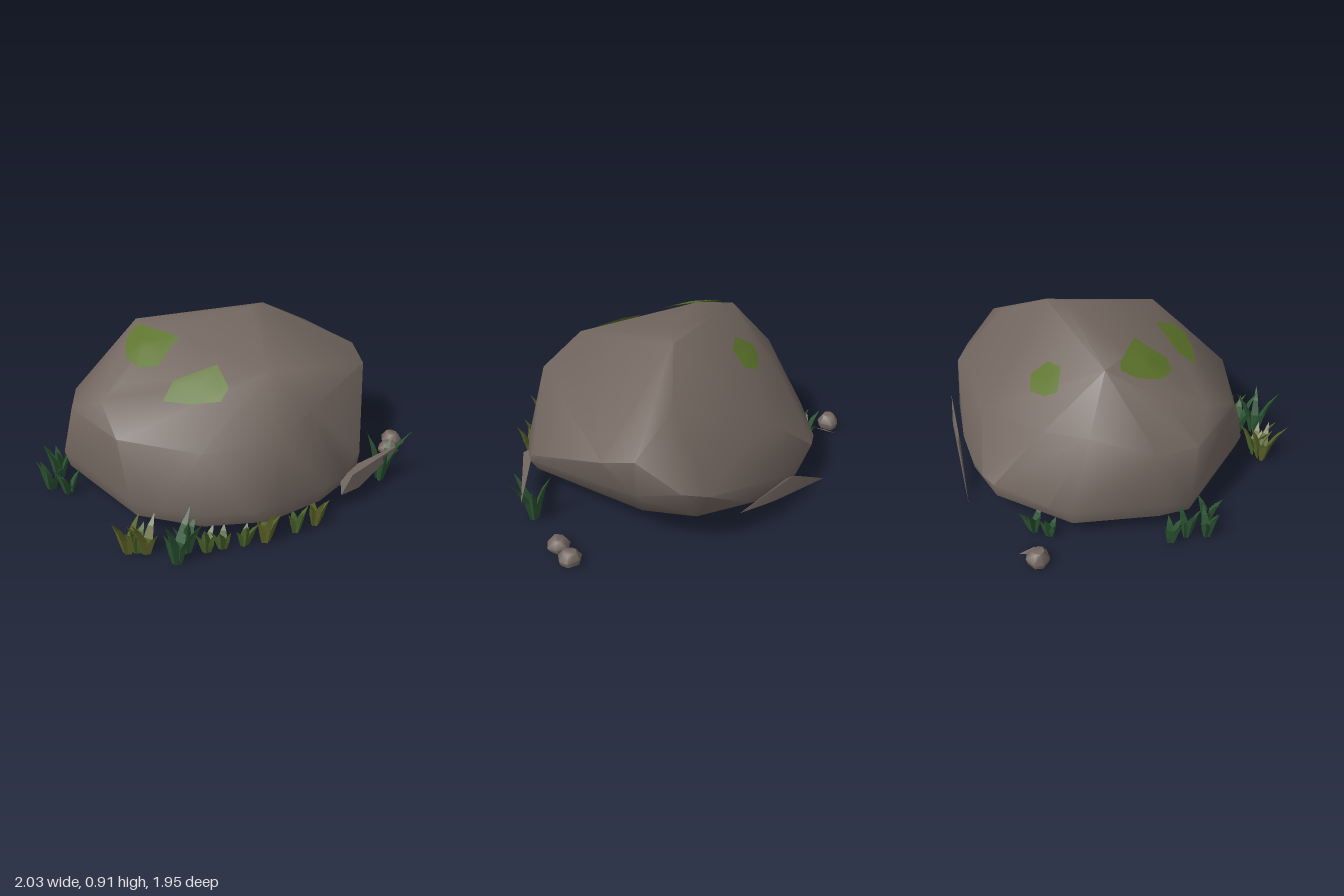
import * as THREE from 'three';
import { mergeVertices, mergeGeometries, toCreasedNormals } from 'three/addons/utils/BufferGeometryUtils.js';
import { ConvexGeometry } from 'three/addons/geometries/ConvexGeometry.js';

const material = (name, color, side = THREE.FrontSide) => {
  const m = new THREE.MeshStandardMaterial({ color, side });
  m.name = name;
  return m;
};

let seed = 7;
const rand = (a = 0, b = 1) => {
  seed = (seed * 16807) % 2147483647;
  return a + (b - a) * (seed / 2147483647);
};

const V = (p) => new THREE.Vector3(...p);

// Convex stone from corner points; edges sharper than the crease angle stay hard
function stone(points, crease) {
  const g = new ConvexGeometry(points);
  g.deleteAttribute('normal');
  return toCreasedNormals(mergeVertices(g, 1e-4), crease);
}

// Faceted grass blade: a flattened three-sided spindle that bends towards +z
function blade(height, width, lean) {
  const profile = [[0.45, 0], [1, 0.4], [0.6, 0.72], [0.02, 1]]
    .map(([r, t]) => new THREE.Vector2((r * width) / 2, t * height));
  const lathe = new THREE.LatheGeometry(profile, 3);
  lathe.scale(1, 1, 0.6);
  const g = lathe.toNonIndexed();
  const p = g.attributes.position;
  for (let i = 0; i < p.count; i++) {
    const t = p.getY(i) / height;
    p.setZ(i, p.getZ(i) + lean * t * t);
  }
  g.computeVertexNormals();
  return g;
}

// Four blades fanned away from the boulder
function tuft(x, z, height) {
  const out = Math.atan2(x, z);
  const blades = [0, -1.1, 1.1, 2.8].map((turn) => {
    const h = turn === 0 ? height : height * rand(0.6, 0.88);
    const g = blade(h, rand(0.054, 0.068), h * rand(0.25, 0.45));
    g.translate(0, 0, 0.018);
    g.rotateY(out + turn + rand(-0.3, 0.3));
    g.translate(x, 0, z);
    return g;
  });
  return mergeGeometries(blades);
}

// Patch draped over the boulder from an outline in x and z, counter-clockwise from above
function drape(rock, outline, lift) {
  const ray = new THREE.Raycaster();
  const drop = (x, z) => {
    ray.set(new THREE.Vector3(x, 3, z), new THREE.Vector3(0, -1, 0));
    const hit = ray.intersectObject(rock)[0];
    return [x, hit.point.y + lift, z];
  };
  const n = outline.length, steps = 4, index = [];
  const cx = outline.reduce((s, p) => s + p[0], 0) / n;
  const cz = outline.reduce((s, p) => s + p[1], 0) / n;
  const pos = drop(cx, cz);
  for (let s = 1; s <= steps; s++) {
    for (const [x, z] of outline) {
      pos.push(...drop(cx + ((x - cx) * s) / steps, cz + ((z - cz) * s) / steps));
    }
  }
  for (let i = 0; i < n; i++) {
    const j = (i + 1) % n;
    index.push(0, 1 + i, 1 + j);
    for (let s = 0; s < steps - 1; s++) {
      const a = 1 + s * n + i, b = 1 + s * n + j;
      index.push(a, b + n, b, a, a + n, b + n);
    }
  }
  const g = new THREE.BufferGeometry();
  g.setAttribute('position', new THREE.Float32BufferAttribute(pos, 3));
  g.setIndex(index);
  g.computeVertexNormals();
  return g;
}

export function createModel() {
  const group = new THREE.Group();
  const rockMat = material('rock', 0x72665f);
  const mossMat = material('moss', 0x5c732b, THREE.DoubleSide);
  const grass = {
    olive: material('olive grass', 0x5c6428, THREE.DoubleSide),
    green: material('green grass', 0x4c662c, THREE.DoubleSide),
    dark: material('dark grass', 0x2c5533, THREE.DoubleSide),
  };
  const add = (name, geometry, mat) => {
    const mesh = new THREE.Mesh(geometry, mat);
    mesh.name = name;
    group.add(mesh);
    return mesh;
  };

  // Boulder: underside, rim, shoulders with an overhanging right front edge, and crown
  const underside = [[-0.79, -0.26], [-0.68, -0.39], [-0.32, -0.68], [0.15, -0.72], [0.4, -0.6], [0.64, -0.34],
    [0.74, 0], [0.68, 0.25], [0.52, 0.48], [0.27, 0.83], [0.03, 0.87], [-0.3, 0.83], [-0.58, 0.65], [-0.78, 0.36]];
  const rim = [[-0.81, -0.28], [-0.73, -0.38], [-0.55, -0.53], [-0.32, -0.7], [-0.2, -0.73], [0.15, -0.74],
    [0.25, -0.71], [0.4, -0.62], [0.55, -0.5], [0.76, -0.28], [0.86, -0.02], [0.78, 0.26], [0.32, 0.86],
    [0.22, 0.88], [0.05, 0.89], [-0.25, 0.86], [-0.4, 0.81], [-0.6, 0.67], [-0.72, 0.52], [-0.81, 0.35]];
  const shoulders = [[-0.79, 0.5, -0.2], [-0.79, 0.5, 0.22], [-0.73, 0.61, 0.0], [-0.55, 0.5, 0.6], [-0.2, 0.52, 0.79],
    [0.02, 0.62, 0.78], [0.36, 0.26, 0.84], [0.6, 0.39, 0.63], [0.82, 0.51, 0.44], [0.9, 0.56, 0.28], [0.92, 0.38, 0.28],
    [0.95, 0.4, 0.06], [0.92, 0.36, -0.08], [0.72, 0.44, -0.22], [0.42, 0.44, -0.47], [-0.05, 0.52, -0.55],
    [-0.33, 0.58, -0.53], [-0.65, 0.5, -0.38]];
  const crown = [[-0.6, 0.68, 0.0], [-0.57, 0.69, -0.18], [-0.08, 0.785, 0.57], [-0.3, 0.85, -0.1], [-0.28, 0.85, -0.3],
    [0.22, 0.912, 0.09], [0.34, 0.902, 0.07], [0.5, 0.81, 0.08], [0.68, 0.71, 0.09]];
  const rock = add('boulder', stone([
    ...underside.map(([x, z]) => V([x, 0.11, z])),
    ...rim.map(([x, z]) => V([x, 0.2, z])),
    ...shoulders.map(V), ...crown.map(V),
  ], 0.85), rockMat);
  rock.updateMatrixWorld();

  // Thin slabs split off the sides
  add('frontShard', stone([[0.18, 0.09, 0.89], [0.2, 0.21, 0.85], [0.24, 0.2, 0.905], [0.72, 0.205, 0.865],
    [0.3, 0.1, 0.91], [0.52, 0.14, 0.875]].map(V), 0.3), rockMat);
  add('backShard', stone([[0.31, 0.01, -0.78], [0.86, 0.21, -0.235], [0.58, 0.21, -0.51], [0.54, 0.2, -0.56],
    [0.62, 0.1, -0.46], [0.72, 0.16, -0.4]].map(V), 0.3), rockMat);

  // Moss patches
  const patches = [
    [[-0.5, -0.09], [-0.5, 0.03], [-0.43, 0.1], [-0.25, 0.05], [-0.31, -0.2], [-0.34, -0.24], [-0.42, -0.2]],
    [[-0.45, 0.39], [-0.34, 0.5], [-0.27, 0.48], [-0.23, 0.34], [-0.43, 0.23], [-0.53, 0.27]],
    [[0, -0.29], [0.11, -0.26], [0.18, -0.32], [0.13, -0.4], [0.02, -0.42], [-0.05, -0.4]],
  ];
  for (const outline of patches) add('mossPatch', drape(rock, outline, 0.018), mossMat);

  // Grass tufts around the foot
  const tufts = {
    olive: [[-0.91, 0.46, 0.26], [-0.84, 0.52, 0.23], [-0.32, 0.83, 0.24], [-0.02, 0.89, 0.19]],
    green: [[-0.87, 0.48, 0.18], [-0.6, 0.7, 0.19], [-0.42, 0.78, 0.15], [-0.14, 0.87, 0.17], [-0.52, 0.73, 0.14]],
    dark: [[-0.77, 0.68, 0.3], [-0.68, 0.64, 0.26], [0.57, 0.83, 0.31], [-0.91, -0.28, 0.2], [-0.86, -0.18, 0.17],
      [-0.82, -0.34, 0.22], [-0.77, -0.42, 0.18], [-0.2, -0.72, 0.16], [-0.11, -0.74, 0.19]],
  };
  for (const [shade, list] of Object.entries(tufts)) {
    for (const [x, z, h] of list) add('grassTuft', tuft(x, z, h), grass[shade]);
  }

  // Loose pebbles
  for (const [x, z, r, h] of [[0.83, 0.68, 0.062, 0.07], [0.935, 0.615, 0.062, 0.07], [-0.26, -0.92, 0.065, 0.085]]) {
    const points = [];
    for (let i = 0; i < 7; i++) {
      const a = (i / 7) * Math.PI * 2 + rand(-0.2, 0.2);
      for (const [k, y] of [[0.85, 0.005], [1, h * 0.45], [0.55, h]]) {
        points.push(V([x + Math.cos(a) * r * k, y + rand(-0.005, 0.004), z + Math.sin(a) * r * k]));
      }
    }
    add('pebble', stone(points, 1), rockMat);
  }
  // Flat chip beside the back pebble
  add('stoneChip', stone([[-0.24, 0.005, -0.83], [-0.15, 0.015, -0.94], [-0.19, 0.02, -0.86],
    [-0.2, 0.01, -0.9]].map(V), 0.3), rockMat);

  return group;
}
